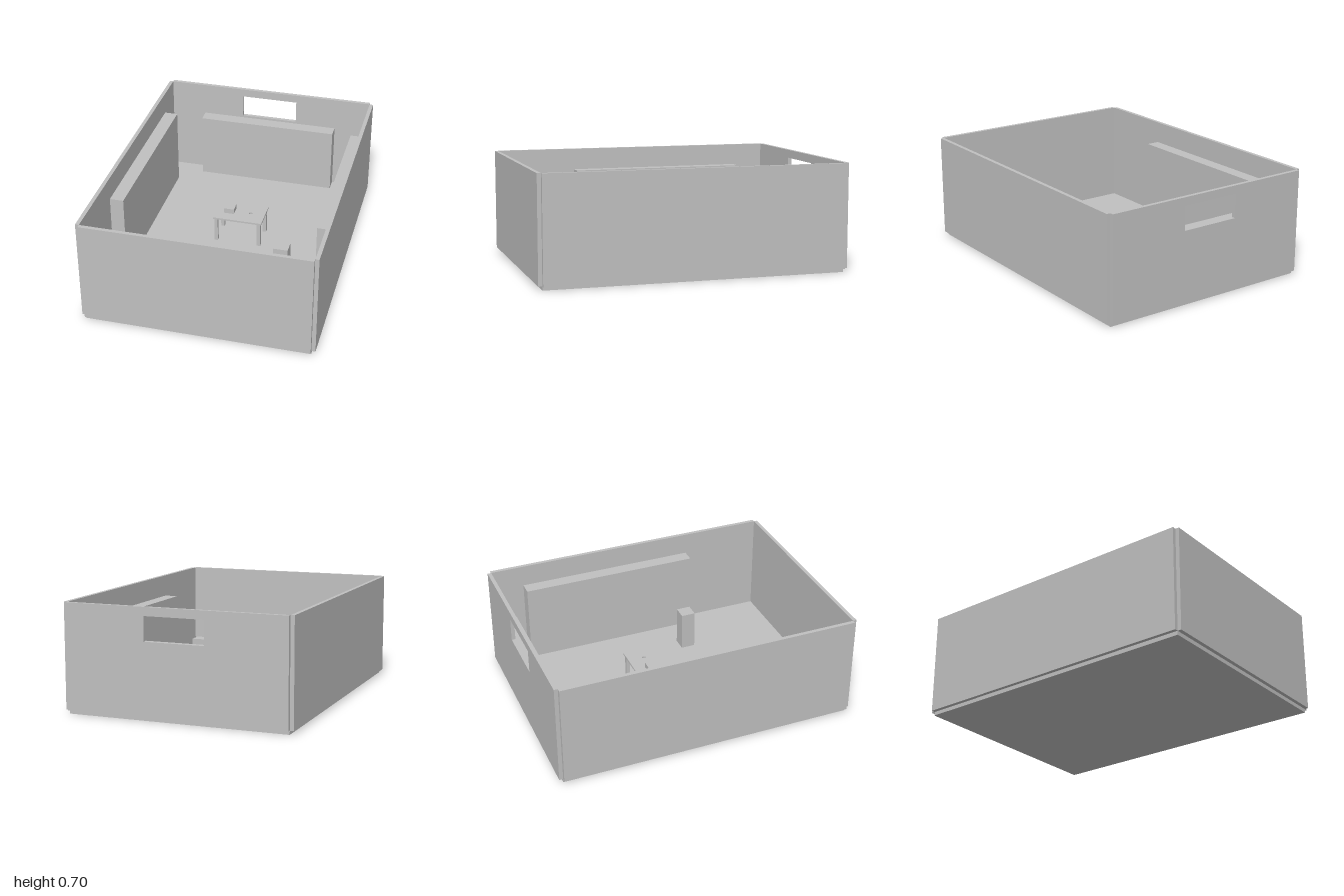
import * as THREE from 'three';

export function createModel() {
  const model = new THREE.Group();
  model.name = 'openBox';
  const grey = new THREE.MeshStandardMaterial({ color: 0xc0c0c0 });
  grey.name = 'light grey';

  // Box given by its lower and upper limits on each axis
  function block(name, [x0, x1], [y0, y1], [z0, z1], parent = model) {
    const mesh = new THREE.Mesh(new THREE.BoxGeometry(x1 - x0, y1 - y0, z1 - z0), grey);
    mesh.name = name;
    mesh.position.set((x0 + x1) / 2, (y0 + y1) / 2, (z0 + z1) / 2);
    parent.add(mesh);
    return mesh;
  }

  // Rectangle as a shape or as a hole outline
  function rectangle(Type, x0, x1, y0, y1) {
    return new Type([[x0, y0], [x1, y0], [x1, y1], [x0, y1]].map(p => new THREE.Vector2(...p)));
  }

  function plate(name, shape, depth, parent) {
    const geometry = new THREE.ExtrudeGeometry(shape, { depth, bevelEnabled: false, curveSegments: 8 });
    const mesh = new THREE.Mesh(geometry, grey);
    mesh.name = name;
    parent.add(mesh);
    return mesh;
  }

  const X = 0.72, Z = 0.975, WALL = 0.025, FLOOR = 0.025, TOP = 0.7;

  // Floor and walls; the walls meet only along their corner edges
  block('floor', [-X, X], [0, FLOOR], [-Z, Z]);
  block('frontWall', [-X, X], [FLOOR, TOP], [Z, Z + WALL]);
  block('leftWall', [X, X + WALL], [FLOOR, TOP], [-Z, Z]);
  block('rightWall', [-X - WALL, -X], [FLOOR, TOP], [-Z, Z]);

  // Back wall with its hand slot
  const back = rectangle(THREE.Shape, -X, X, FLOOR, TOP);
  back.holes.push(rectangle(THREE.Path, -0.195, 0.195, 0.49, 0.645));
  plate('backWall', back, WALL, model).position.z = -Z - WALL;

  // Thick panels standing against the inside of the walls
  block('leftPanel', [0.63, X], [FLOOR, 0.555], [-0.76, 0.44]);
  block('rightPanel', [-X, -0.63], [FLOOR, 0.555], [-0.76, 0.44]);
  block('backPanel', [-0.48, 0.48], [FLOOR, 0.475], [-Z, -0.885]);

  // Free-standing post
  block('post', [0.335, 0.43], [FLOOR, 0.29], [0.255, 0.35]);

  // Small raised board on four legs, with a drilled hole and a block on top
  const stand = new THREE.Group();
  stand.name = 'raisedBoard';
  stand.position.set(0, 0, -0.135);
  model.add(stand);
  const board = rectangle(THREE.Shape, -0.168, 0.168, -0.11, 0.11);
  board.holes.push(new THREE.Path().absarc(0.07, 0, 0.012, 0, Math.PI * 2, true));
  const boardMesh = plate('board', board, 0.012, stand);
  boardMesh.rotation.x = -Math.PI / 2;
  boardMesh.position.y = 0.198;
  block('boardBlock', [-0.11, -0.04], [0.21, 0.245], [-0.035, 0.035], stand);
  for (const x of [-0.148, 0.148]) {
    for (const z of [-0.09, 0.09]) {
      block('boardLeg', [x - 0.012, x + 0.012], [FLOOR, 0.198], [z - 0.012, z + 0.012], stand);
    }
  }

  return model;
}
